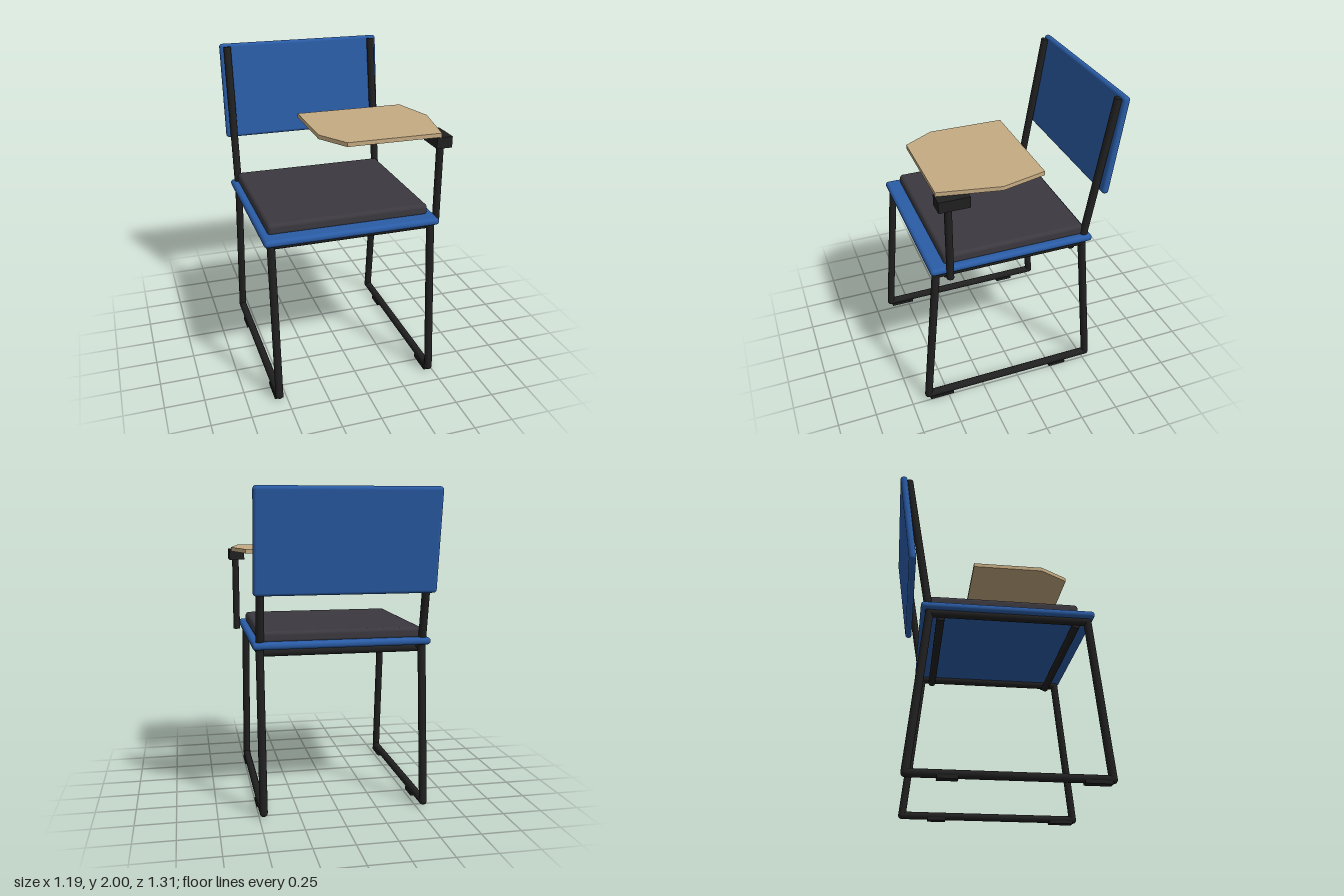
import * as THREE from 'three';
import { RoundedBoxGeometry } from 'three/addons/geometries/RoundedBoxGeometry.js';

const mat = (name, color) => {
  const m = new THREE.MeshStandardMaterial({ color });
  m.name = name;
  return m;
};

export function createModel() {
  const blue = mat('blue plastic', 0x2a5ca6);
  const black = mat('black metal', 0x202020);
  const grey = mat('dark grey cushion', 0x3b393f);
  const wood = mat('light wood', 0xc5ab83);

  const model = new THREE.Group();
  model.name = 'tabletChair';

  const add = (name, geometry, material, x = 0, y = 0, z = 0, parent = model) => {
    const mesh = new THREE.Mesh(geometry, material);
    mesh.name = name;
    mesh.position.set(x, y, z);
    parent.add(mesh);
    return mesh;
  };

  // Straight tube between two points
  const R = 0.025;
  const tube = (name, a, b, parent, r = R) => {
    const from = new THREE.Vector3(...a), to = new THREE.Vector3(...b);
    const dir = to.clone().sub(from);
    const mid = from.clone().add(to).multiplyScalar(0.5);
    const mesh = add(name, new THREE.CylinderGeometry(r, r, dir.length(), 16), black, mid.x, mid.y, mid.z, parent);
    mesh.quaternion.setFromUnitVectors(new THREE.Vector3(0, 1, 0), dir.normalize());
    return mesh;
  };

  // Side frames: sled legs, seat rail and raked back post
  const left = 0.473, right = -0.548, cx = -0.037;
  for (const [side, x] of [['left', left], ['right', right]]) {
    const frame = new THREE.Group();
    frame.name = side + 'Frame';
    model.add(frame);
    const frontFoot = [x, 0.032, 0.632], backFoot = [x, 0.032, -0.53];
    const frontTop = [x, 1.022, 0.54], backTop = [x, 1.022, -0.432];
    tube('frontLeg', frontFoot, frontTop, frame);
    tube('floorRail', frontFoot, backFoot, frame);
    tube('backLeg', backFoot, backTop, frame);
    tube('seatRail', frontTop, backTop, frame);
    tube('backPost', backTop, [x, 1.985, -0.595], frame);
    for (const p of [frontFoot, backFoot, frontTop, backTop])
      add('bend', new THREE.SphereGeometry(R, 16, 10), black, ...p, frame);
    for (const z of [0.545, -0.3])
      add('footPad', new THREE.BoxGeometry(0.055, 0.02, z > 0 ? 0.16 : 0.12), black, x, 0.01, z, frame);
  }

  // Cross bars under the seat
  for (const z of [0.47, -0.362])
    tube('crossBar', [right, 1.001, z], [left, 1.001, z], model);

  // Seat board, cushion and back panel
  add('seat', new RoundedBoxGeometry(1.115, 0.045, 1.066, 4, 0.021), blue, cx, 1.059, 0.048);
  add('cushion', new RoundedBoxGeometry(1.03, 0.075, 0.926, 4, 0.025), grey, cx, 1.106, 0.024);
  const back = add('backrest', new RoundedBoxGeometry(1.115, 0.635, 0.045, 4, 0.021), blue, cx, 1.685, -0.59);
  back.rotation.x = -0.137;

  // Writing tablet on its post and bracket
  tube('tabletPost', [0.543, 1.025, 0.47], [0.543, 1.53, 0.47], model, 0.023);
  add('tabletBracket', new THREE.BoxGeometry(0.1, 0.07, 0.19), black, 0.54, 1.56, 0.443);
  const outline = [[-0.192, -0.13], [0.52, -0.13], [0.592, 0.155], [0.52, 0.533], [-0.075, 0.533], [-0.192, 0.342]];
  const shape = new THREE.Shape(outline.map(([x, z]) => new THREE.Vector2(x, -z)));
  const top = new THREE.ExtrudeGeometry(shape, { depth: 0.026, bevelEnabled: false });
  top.rotateX(-Math.PI / 2);
  add('writingTablet', top, wood, 0, 1.595, 0);

  return model;
}
